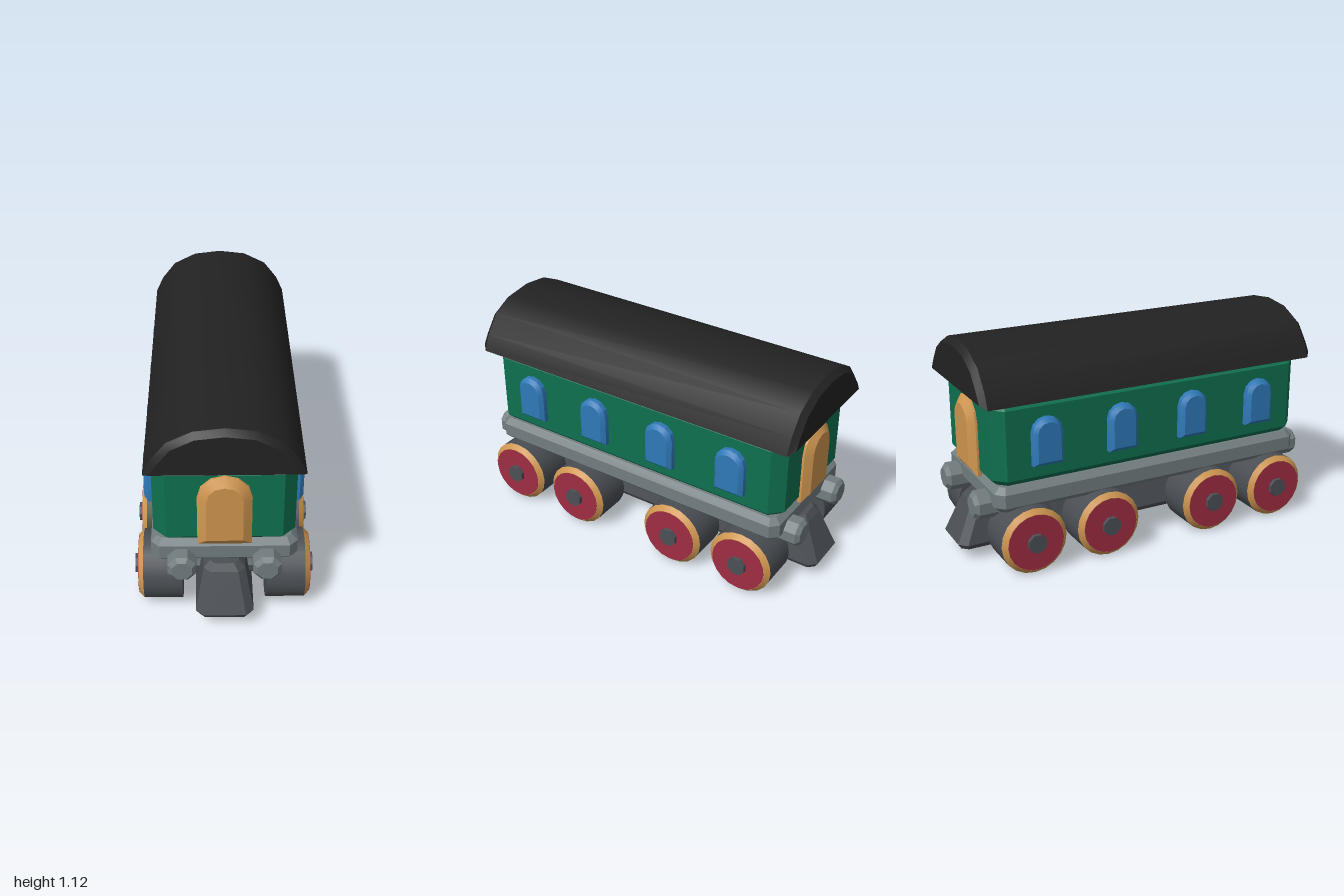
import * as THREE from 'three';
import { toCreasedNormals } from 'three/addons/utils/BufferGeometryUtils.js';

const material = (name, color) => {
  const m = new THREE.MeshStandardMaterial({ color });
  m.name = name;
  return m;
};

// Prism along z from z0 to z1, with chamfers cut inside the outline
function prism(points, z0, z1, inset, thick = inset) {
  const shape = new THREE.Shape(points.map(([x, y]) => new THREE.Vector2(x, y)));
  const geo = new THREE.ExtrudeGeometry(shape, {
    depth: z1 - z0 - 2 * thick, bevelEnabled: true, bevelSegments: 1,
    bevelSize: inset, bevelOffset: -inset, bevelThickness: thick,
  });
  geo.translate(0, 0, z0 + thick);
  return toCreasedNormals(geo, 0.5);
}

// Rectangle with cut corners, counter-clockwise
const cutRect = (x, y, c) => [
  [x, c - y], [x, y - c], [x - c, y], [c - x, y],
  [-x, y - c], [-x, c - y], [c - x, -y], [x - c, -y],
];

// Upright slab with a cut-corner plan
const slab = (x, z, corner, y0, y1, inset) =>
  prism(cutRect(x, z, corner), y0, y1, inset).rotateX(-Math.PI / 2);

// Round-headed outline for doors and windows
function arch(half, y0, y1) {
  const points = [[-half, y0], [half, y0]];
  for (let i = 0; i <= 6; i++) {
    const a = (i / 6) * Math.PI;
    points.push([half * Math.cos(a), y1 - half * 0.94 * (1 - Math.sin(a))]);
  }
  return points;
}

// Faceted solid through stacked cut-corner rings [y, halfX, halfZ, corner]
function stack(rings) {
  const pos = [], index = [], n = 8;
  for (const [y, x, z, c] of rings) for (const [px, pz] of cutRect(x, z, c)) pos.push(px, y, -pz);
  for (let r = 0; r < rings.length - 1; r++) {
    for (let i = 0; i < n; i++) {
      const a = r * n + i, b = r * n + (i + 1) % n;
      index.push(a, b, b + n, a, b + n, a + n);
    }
  }
  const top = (rings.length - 1) * n;
  for (let i = 1; i < n - 1; i++) index.push(0, i + 1, i, top, top + i, top + i + 1);
  const geo = new THREE.BufferGeometry();
  geo.setAttribute('position', new THREE.Float32BufferAttribute(pos, 3));
  geo.setIndex(index);
  const flat = geo.toNonIndexed();
  flat.computeVertexNormals();
  return flat;
}

export function createModel() {
  const model = new THREE.Group();
  model.name = 'railCarriage';
  const green = material('green', 0x0f7050);
  const black = material('black', 0x222222);
  const gold = material('gold', 0xcf9650);
  const red = material('red', 0xa02d43);
  const grey = material('grey', 0x727d7f);
  const darkGrey = material('darkGrey', 0x4b4f54);
  const blue = material('blue', 0x2f79b8);

  const add = (name, geo, mat, parent = model) => {
    const mesh = new THREE.Mesh(geo, mat);
    mesh.name = name;
    parent.add(mesh);
    return mesh;
  };

  // Body, deck and underframe
  add('body', slab(0.337, 0.877, 0.062, 0.445, 0.87, 0.034), green);
  add('deck', slab(0.35, 0.875, 0.04, 0.317, 0.447, 0.03), grey);
  add('underframe', stack([
    [0.062, 0.125, 0.985, 0.03], [0.088, 0.14, 1.0, 0.038],
    [0.285, 0.1, 0.91, 0.034], [0.318, 0.07, 0.885, 0.025],
  ]), darkGrey);

  // Arched roof
  const half = [[0.37, 0.865], [0.333, 0.947], [0.26, 1.041], [0.142, 1.1]];
  const roof = [...half, [0, 1.117], ...half.slice().reverse().map(([x, y]) => [-x, y])];
  add('roof', prism(roof, -0.94, 0.94, 0.027, 0.03), black);

  // Door and buffers, same at both ends
  const doorGeo = prism(arch(0.128, 0.445, 0.837), 0.84, 0.918, 0.042, 0.03);
  const buffer = [];
  for (let i = 0; i < 8; i++) {
    const a = (i + 0.5) * Math.PI / 4;
    buffer.push([0.0735 * Math.cos(a), 0.0735 * Math.sin(a)]);
  }
  const bufferGeo = prism(buffer, 0.82, 0.958, 0.02);
  for (const turn of [0, Math.PI]) {
    const end = new THREE.Group();
    end.name = turn ? 'rearEnd' : 'frontEnd';
    end.rotation.y = turn;
    model.add(end);
    add('door', doorGeo, gold, end);
    for (const x of [-0.203, 0.203]) add('buffer', bufferGeo, grey, end).position.set(x, 0.333, 0);
  }

  // Windows along both sides
  const windowGeo = prism(arch(0.08, 0.542, 0.785), 0.3, 0.383, 0.02);
  for (const side of [-1, 1]) {
    for (const z of [-0.61, -0.203, 0.203, 0.61]) {
      const pane = add('window', windowGeo, blue);
      pane.rotation.y = side * Math.PI / 2;
      pane.position.z = z;
    }
  }

  // Axles with a wheel on each end
  const sides = 20, R = 0.172;
  const treadGeo = new THREE.CylinderGeometry(R, R, 0.19, sides).rotateZ(-Math.PI / 2).translate(0.298, 0, 0);
  const rimGeo = new THREE.CylinderGeometry(0.148, R, 0.024, sides).rotateZ(-Math.PI / 2).translate(0.405, 0, 0);
  const hubGeo = new THREE.CylinderGeometry(0.146, 0.146, 0.006, sides).rotateZ(-Math.PI / 2).translate(0.416, 0, 0);
  const axleGeo = toCreasedNormals(
    new THREE.CylinderGeometry(0.05, 0.05, 0.878, 8, 1, false, Math.PI / 8).rotateZ(-Math.PI / 2), 0.5);
  for (const z of [-0.711, -0.305, 0.305, 0.711]) {
    const set = new THREE.Group();
    set.name = 'wheelSet';
    set.position.set(0, R, z);
    model.add(set);
    add('axle', axleGeo, darkGrey, set);
    for (const turn of [0, Math.PI]) {
      const wheel = new THREE.Group();
      wheel.name = turn ? 'rightWheel' : 'leftWheel';
      wheel.rotation.y = turn;
      set.add(wheel);
      add('tread', treadGeo, darkGrey, wheel);
      add('rim', rimGeo, gold, wheel);
      add('hub', hubGeo, red, wheel);
    }
  }
  return model;
}
